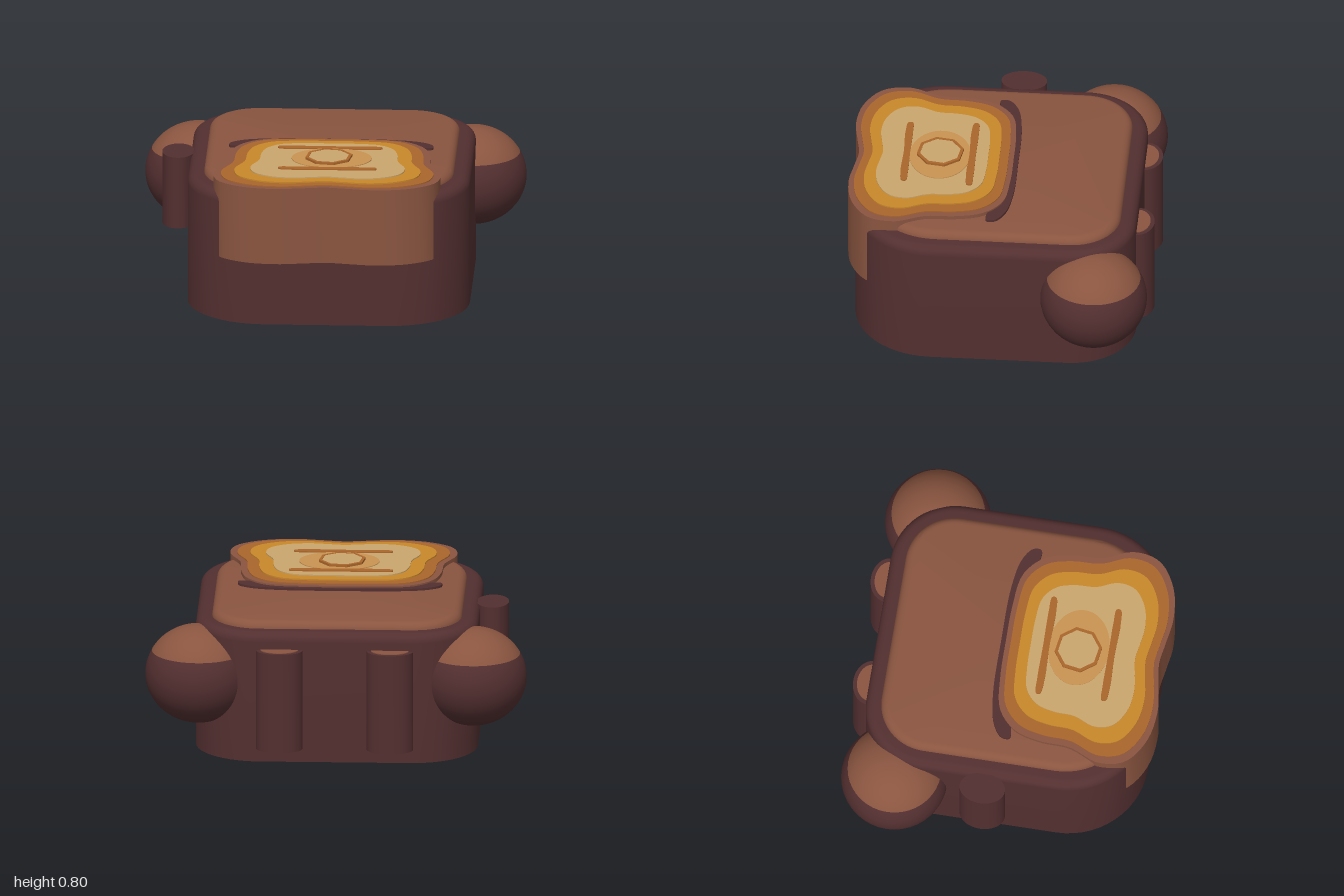
import * as THREE from 'three';
import { toCreasedNormals } from 'three/addons/utils/BufferGeometryUtils.js';

const material = (name, hex) => {
  const m = new THREE.MeshStandardMaterial({ color: hex });
  m.name = name;
  return m;
};

// Closed plan outline with its own back and front corner radii, shrunk by an inset
function roundedPlan({ half, back, front, rBack, rFront }, inset) {
  const corners = [
    [half - rFront, front - rFront, rFront],
    [-half + rFront, front - rFront, rFront],
    [-half + rBack, back + rBack, rBack],
    [half - rBack, back + rBack, rBack],
  ];
  const points = [];
  corners.forEach(([cx, cz, r], k) => {
    for (let i = 0; i <= 14; i++) {
      const a = (k + i / 14) * Math.PI / 2;
      points.push([cx + (r - inset) * Math.cos(a), cz + (r - inset) * Math.sin(a)]);
    }
  });
  return points;
}

// Stack plan outlines along a profile of [inset, height] and cap both ends
function stackedBlock(plan, profile) {
  const positions = [], indices = [];
  let n = 0;
  for (const [inset, y] of profile) {
    const ring = roundedPlan(plan, inset);
    n = ring.length;
    ring.forEach(([x, z]) => positions.push(x, y, z));
  }
  const last = (profile.length - 1) * n, bottom = profile.length * n;
  const mid = (plan.back + plan.front) / 2;
  positions.push(0, profile[0][1], mid, 0, profile[profile.length - 1][1], mid);
  for (let j = 0; j < n; j++) {
    const k = (j + 1) % n;
    for (let i = 0; i < last; i += n) {
      indices.push(i + j, i + n + j, i + k, i + k, i + n + j, i + n + k);
    }
    indices.push(bottom, j, k, bottom + 1, last + k, last + j);
  }
  const g = new THREE.BufferGeometry();
  g.setAttribute('position', new THREE.Float32BufferAttribute(positions, 3));
  g.setIndex(indices);
  return toCreasedNormals(g, 0.7);
}

// Profile with a quarter-round upper edge
function roundedTop(y0, y1, r) {
  const profile = [[0, y0]];
  for (let i = 0; i <= 6; i++) {
    const a = i / 6 * Math.PI / 2;
    profile.push([r * (1 - Math.cos(a)), y1 - r + r * Math.sin(a)]);
  }
  return profile;
}

// Upright slab from a plan shape drawn as (x, -z)
function slab(shape, y0, y1) {
  const g = new THREE.ExtrudeGeometry(shape, { depth: y1 - y0, bevelEnabled: false, curveSegments: 32 });
  g.rotateX(-Math.PI / 2).translate(0, y0, 0);
  return toCreasedNormals(g, 0.6);
}

// Mirror half an outline [x, z] into a smooth closed shape
function mirroredShape(half, scale = 1, cz = 0) {
  const mirrored = half.filter(([x]) => x > 0).reverse().map(([x, z]) => [-x, z]);
  const points = [...half, ...mirrored].map(([x, z]) =>
    new THREE.Vector3(x * scale, -(cz + (z - cz) * scale), 0));
  const curve = new THREE.CatmullRomCurve3(points, true);
  return new THREE.Shape(curve.getPoints(96).slice(0, -1).map(p => new THREE.Vector2(p.x, p.y)));
}

function ellipseShape(cx, cz, rx, rz) {
  return new THREE.Shape().absellipse(cx, -cz, rx, rz, 0, Math.PI * 2);
}

function polygon(Type, sides, cx, cz, r) {
  const points = [];
  for (let i = 0; i < sides; i++) {
    const a = (i + 0.3) / sides * Math.PI * 2;
    points.push(new THREE.Vector2(cx + r * Math.cos(a), -cz + r * Math.sin(a)));
  }
  return new Type(points);
}

export function createModel() {
  const dark = material('dark cocoa', 0x532f30);
  const brown = material('brown', 0x8a5540);
  const orange = material('toasted orange', 0xab662b);
  const gold = material('gold', 0xc9882a);
  const tan = material('pale tan', 0xcaa66e);
  const amber = material('light amber', 0xca9452);

  const model = new THREE.Group();
  const add = (name, geometry, mat, parent = model) => {
    const mesh = new THREE.Mesh(geometry, mat);
    mesh.name = name;
    parent.add(mesh);
    return mesh;
  };

  // Rounded square body with a lighter core showing above and below
  add('body', stackedBlock(
    { half: 0.74, back: -0.72, front: 0.76, rBack: 0.34, rFront: 0.42 },
    roundedTop(0.003, 0.705, 0.05)), dark);
  add('core', stackedBlock(
    { half: 0.655, back: -0.64, front: 0.68, rBack: 0.26, rFront: 0.36 },
    roundedTop(0, 0.745, 0.045)), brown);

  // Round ears with a lighter cap
  const split = 1.07;
  for (const side of [1, -1]) {
    const ear = new THREE.Group();
    ear.name = side > 0 ? 'leftEar' : 'rightEar';
    ear.position.set(side * 0.72, 0.425, -0.52);
    ear.scale.set(0.28, 0.26, 0.28);
    add('earCap', new THREE.SphereGeometry(1, 40, 12, 0, Math.PI * 2, 0, split), brown, ear);
    add('earBase', new THREE.SphereGeometry(1, 40, 24, 0, Math.PI * 2, split, Math.PI - split), dark, ear);
    model.add(ear);

    // Upright posts on the back
    add('backPost', slab(ellipseShape(side * 0.29, -0.715, 0.122, 0.093), 0.075, 0.612), dark);
    add('backPostTop', slab(ellipseShape(side * 0.29, -0.715, 0.1, 0.072), 0.61, 0.616), brown);
  }

  // Knob on the right side
  add('sideKnob', slab(ellipseShape(-0.805, -0.04, 0.085, 0.12), 0.3, 0.69), dark);

  // Slice-shaped snout made of stepped layers
  const slice = [
    [0, -0.045], [0.2, -0.042], [0.38, -0.015], [0.485, 0.08], [0.525, 0.22], [0.535, 0.38],
    [0.595, 0.54], [0.565, 0.68], [0.43, 0.775], [0.26, 0.803], [0.12, 0.785], [0, 0.768],
  ];
  const layers = [
    ['snout', 1, 0.35, 0.765, brown],
    ['crust', 0.935, 0.76, 0.771, orange],
    ['crustInner', 0.82, 0.766, 0.778, gold],
    ['crumb', 0.68, 0.772, 0.784, tan],
  ];
  for (const [name, scale, y0, y1, mat] of layers) {
    add(name, slab(mirroredShape(slice, scale, 0.37), y0, y1), mat);
  }

  // Curved dark lip behind the snout
  add('backLip', slab(mirroredShape([
    [0, -0.07], [0.3, -0.065], [0.46, -0.035], [0.53, 0.015], [0.53, 0.06], [0.45, 0.055], [0.3, 0.02], [0, 0],
  ]), 0.735, 0.757), dark);

  // Nose disc with a faceted button
  add('noseDisc', slab(ellipseShape(0.015, 0.34, 0.21, 0.16), 0.78, 0.788), amber);
  const rim = polygon(THREE.Shape, 8, 0, 0.34, 0.125);
  rim.holes.push(polygon(THREE.Path, 8, 0, 0.34, 0.108));
  add('noseRim', slab(rim, 0.785, 0.8), orange);
  add('noseButton', slab(polygon(THREE.Shape, 8, 0, 0.34, 0.108), 0.785, 0.799), tan);

  // Slim bars above and below the nose
  for (const [z, w] of [[0.17, 0.27], [0.515, 0.255]]) {
    add('bar', slab(mirroredShape([
      [0, z - 0.017], [w * 0.7, z - 0.018], [w, z - 0.012], [w, z + 0.01], [w * 0.7, z + 0.021], [0, z + 0.017],
    ]), 0.782, 0.79), orange);
  }
  return model;
}
